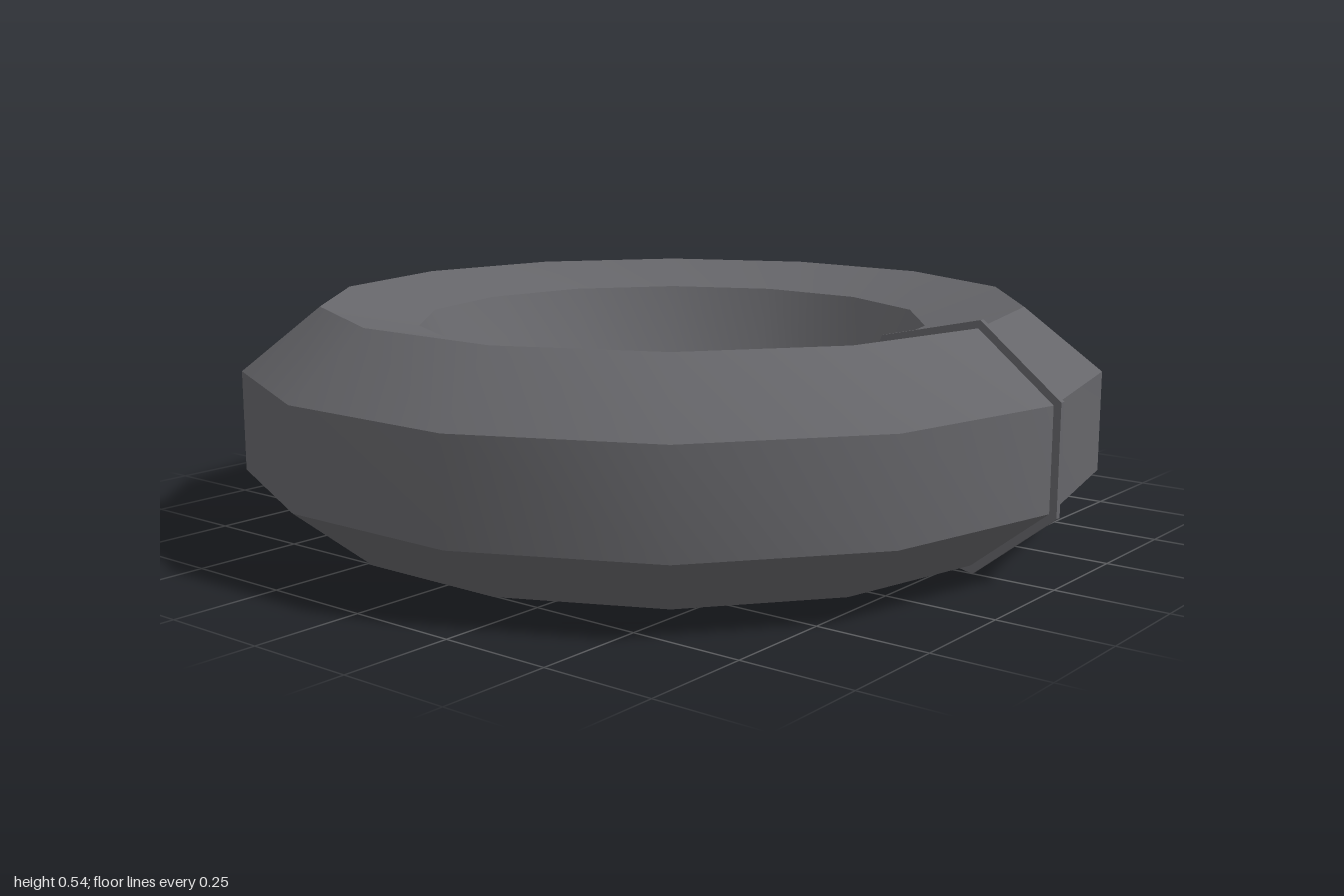
import * as THREE from 'three';
import { toCreasedNormals } from 'three/addons/utils/BufferGeometryUtils.js';

const SIDES = 7;         // sides of the tube section
const SEGMENTS = 14;     // straight pieces around the ring
const RING_R = 0.756;    // centre line radius
const TUBE_R = 0.261;
const COLLAR_R = 0.279;

export function createModel() {
  const group = new THREE.Group();
  const color = 0x66666a;

  // Seven-sided section with a corner pointing at the hole
  const profile = [];
  for (let i = 0; i <= SIDES; i++) {
    const a = -Math.PI + (i / SIDES) * Math.PI * 2;
    profile.push(new THREE.Vector2(RING_R + TUBE_R * Math.cos(a), TUBE_R * Math.sin(a)));
  }
  const ringGeometry = toCreasedNormals(
    new THREE.LatheGeometry(profile, SEGMENTS, Math.PI / 2), THREE.MathUtils.degToRad(35));
  const ring = new THREE.Mesh(ringGeometry, new THREE.MeshStandardMaterial({ color }));
  ring.name = 'ring';
  group.add(ring);

  // Thin collar standing slightly proud of the tube at the seam
  const collarGeometry = new THREE.CylinderGeometry(
    COLLAR_R, COLLAR_R, 0.014, SIDES, 1, false, -Math.PI / 2);
  collarGeometry.rotateX(Math.PI / 2);
  const collar = new THREE.Mesh(
    collarGeometry, new THREE.MeshStandardMaterial({ color, flatShading: true }));
  collar.name = 'seamCollar';
  collar.position.set(RING_R, 0, -0.005);
  group.add(collar);

  group.position.set(-0.008, 0.272, 0);
  const model = new THREE.Group();
  model.name = 'seamedRing';
  model.add(group);
  group.name = 'ringAssembly';
  return model;
}
